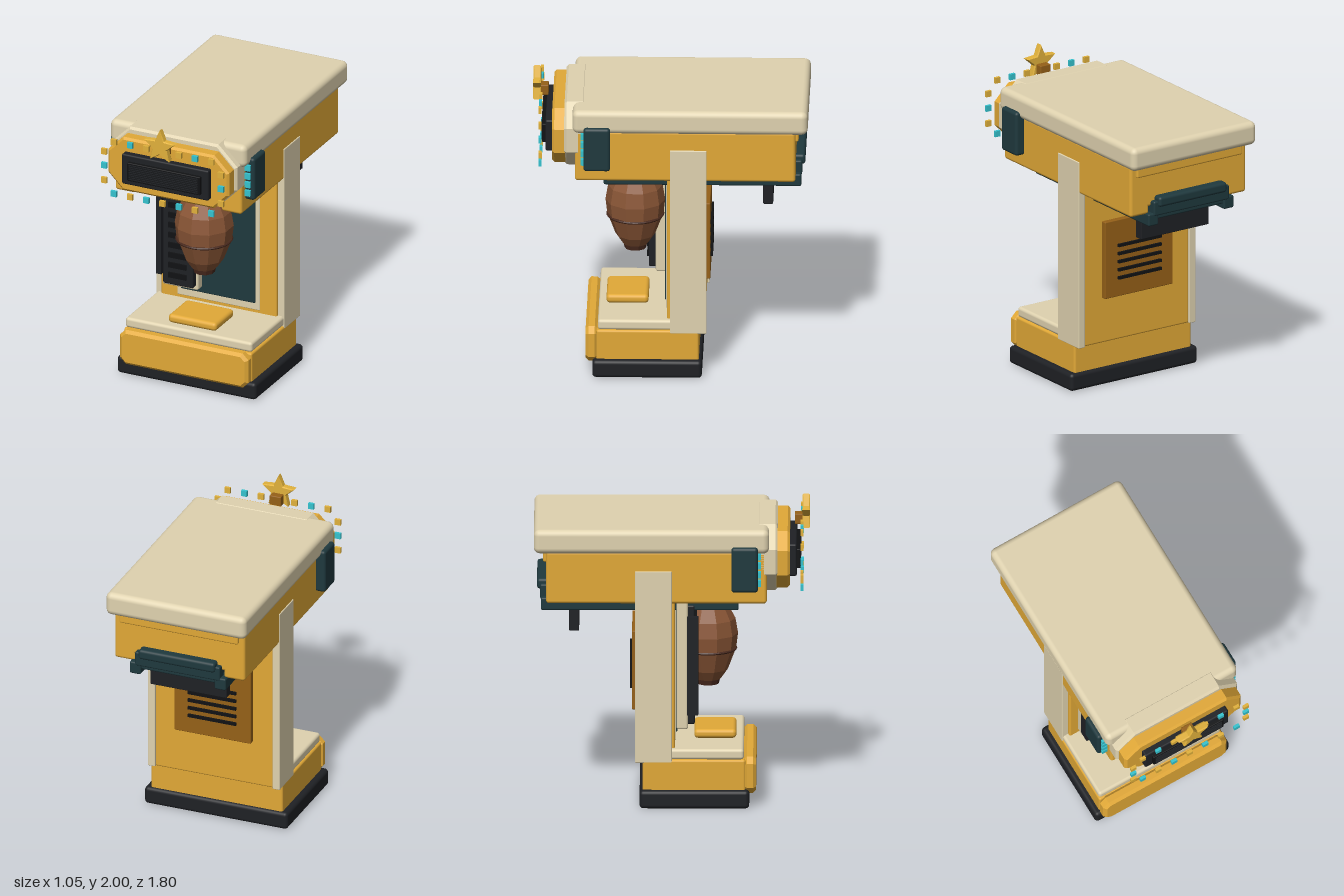
import * as THREE from 'three';
import { RoundedBoxGeometry } from 'three/addons/geometries/RoundedBoxGeometry.js';

const mat = (color, flatShading = false) => new THREE.MeshStandardMaterial({ color, flatShading });
const yellow = mat(0xe2a937), cream = mat(0xe0d3b0), black = mat(0x1f2125), teal = mat(0x1f393e);
const cyan = mat(0x35c4d0), brass = mat(0x966118), dark = mat(0x111214);
const gold = mat(0xe2b23c, true), leather = mat(0x8a5636, true), darkLeather = mat(0x4a2a1e, true);

export function createModel() {
  const root = new THREE.Group();

  const add = (name, geometry, material, x = 0, y = 0, z = 0) => {
    const mesh = new THREE.Mesh(geometry, material);
    mesh.name = name;
    mesh.position.set(x, y, z);
    root.add(mesh);
    return mesh;
  };
  // Box given by its limits on each axis; r rounds the edges
  const box = (name, material, [x0, x1], [y0, y1], [z0, z1], r = 0) => {
    const size = [x1 - x0, y1 - y0, z1 - z0];
    const geometry = r ? new RoundedBoxGeometry(...size, 3, r) : new THREE.BoxGeometry(...size);
    return add(name, geometry, material, (x0 + x1) / 2, (y0 + y1) / 2, (z0 + z1) / 2);
  };
  // The same box on both sides
  const pair = (name, material, [x0, x1], y, z, r) => {
    box(name + 'Left', material, [x0, x1], y, z, r);
    box(name + 'Right', material, [-x1, -x0], y, z, r);
  };
  // Upright plate with cut corners, bevelled at front and back
  const plate = (name, material, w, [y0, y1], [z0, z1], cut, bevel) => {
    const x = w - bevel, b = y0 + bevel, t = y1 - bevel;
    const shape = new THREE.Shape([
      [-x + cut, b], [x - cut, b], [x, b + cut], [x, t - cut],
      [x - cut, t], [-x + cut, t], [-x, t - cut], [-x, b + cut],
    ].map(p => new THREE.Vector2(...p)));
    const geometry = new THREE.ExtrudeGeometry(shape, {
      depth: z1 - z0 - 2 * bevel, bevelThickness: bevel, bevelSize: bevel, bevelSegments: 1,
    });
    return add(name, geometry, material, 0, 0, z0 + bevel);
  };

  // Base and platform
  box('foot', black, [-0.505, 0.505], [0, 0.12], [-0.21, 0.505], 0.025);
  box('base', yellow, [-0.465, 0.465], [0.1, 0.32], [-0.19, 0.48], 0.015);
  plate('baseFront', yellow, 0.467, [0.09, 0.335], [0.47, 0.55], 0.03, 0.02);
  box('platform', cream, [-0.46, 0.46], [0.32, 0.39], [-0.02, 0.47], 0.02);
  box('platformPad', yellow, [-0.175, 0.175], [0.39, 0.45], [0.145, 0.42], 0.025);

  // Column
  box('column', yellow, [-0.42, 0.42], [0.3, 1.42], [-0.225, 0.02], 0.012);
  pair('sidePost', cream, [0.415, 0.466], [0.3, 1.59], [-0.24, 0], 0.006);
  box('panelFrame', cream, [-0.3, 0.3], [0.41, 1.4], [0.01, 0.027], 0.006);
  box('frontPanel', teal, [-0.27, 0.27], [0.46, 1.41], [0.015, 0.037], 0.008);
  box('backPanel', brass, [-0.27, 0.27], [0.61, 1.14], [-0.26, -0.21], 0.006);
  for (let i = 0; i < 5; i++) {
    const y = 0.74 + i * 0.056;
    box('backVent', dark, [-0.17, 0.17], [y - 0.01, y + 0.01], [-0.275, -0.25]);
  }

  // Score board beside the bag
  box('boardFrame', cream, [-0.37, -0.11], [0.5, 1.36], [0.03, 0.105], 0.015);
  box('board', black, [-0.345, -0.125], [0.53, 1.33], [0.09, 0.15], 0.012);
  box('boardRail', black, [-0.382, -0.345], [0.6, 1.26], [0.1, 0.172]);
  for (let i = 0; i < 10; i++) {
    const y = 0.603 + i * 0.0717;
    box('boardSlat', dark, [-0.3, -0.17], [y - 0.018, y + 0.018], [0.14, 0.162]);
  }

  // Overhead housing with a channel along its underside
  box('housing', yellow, [-0.46, 0.46], [1.42, 1.72], [-0.82, 0.62], 0.02);
  pair('housingCheek', yellow, [0.31, 0.46], [1.37, 1.5], [-0.82, 0.62], 0.02);
  box('housingBackLip', yellow, [-0.42, 0.42], [1.64, 1.71], [-0.84, -0.8], 0.012);
  box('lid', cream, [-0.495, 0.495], [1.71, 1.87], [-0.9, 0.635], 0.04);

  // Carriage under the housing
  box('carriageTray', teal, [-0.29, 0.29], [1.33, 1.42], [-0.84, 0.42], 0.012);
  pair('carriageRail', teal, [0.26, 0.34], [1.295, 1.38], [-0.855, 0.435], 0.012);
  box('carriageBack', teal, [-0.3, 0.3], [1.36, 1.46], [-0.86, -0.78], 0.012);
  box('carriageCap', teal, [-0.27, 0.27], [1.42, 1.49], [-0.88, -0.8], 0.02);
  box('counterweight', black, [-0.27, 0.27], [1.14, 1.35], [-0.67, -0.605], 0.006);
  box('frontBar', black, [-0.31, 0.31], [1.38, 1.42], [0.41, 0.45]);

  // Punching bag
  const profile = [[0.001, 0.755], [0.085, 0.755], [0.13, 0.82], [0.183, 0.96], [0.195, 1.06],
    [0.178, 1.16], [0.13, 1.25], [0.075, 1.29], [0.001, 1.29]].map(p => new THREE.Vector2(...p));
  add('bag', new THREE.LatheGeometry(profile, 10), leather, 0, 0, 0.235);
  const seam = add('bagSeam', new THREE.TorusGeometry(0.181, 0.009, 6, 32), darkLeather, 0, 0.96, 0.235);
  seam.rotation.x = Math.PI / 2;
  add('bagFoot', new THREE.CylinderGeometry(0.08, 0.07, 0.04, 10), darkLeather, 0, 0.74, 0.235);
  add('bagCollar', new THREE.CylinderGeometry(0.075, 0.08, 0.055, 10), black, 0, 1.3, 0.235);
  add('bagNeck', new THREE.CylinderGeometry(0.045, 0.045, 0.12, 12), black, 0, 1.36, 0.235);

  // Marquee and display
  plate('marqueeCollar', cream, 0.46, [1.43, 1.873], [0.555, 0.69], 0.13, 0.015);
  plate('marqueeFace', yellow, 0.44, [1.45, 1.83], [0.67, 0.77], 0.1, 0.015);
  box('display', black, [-0.315, 0.315], [1.52, 1.735], [0.75, 0.815], 0.012);
  box('displayScreen', dark, [-0.265, 0.265], [1.56, 1.69], [0.8, 0.838], 0.006);
  for (let i = 0; i < 9; i++) {
    const y = 1.575 + i * 0.0125;
    box('screenLine', black, [-0.25, 0.25], [y - 0.003, y + 0.003], [0.83, 0.842]);
  }

  // Lamps around the display, alternating in colour
  const lamp = (material, x, y, z) =>
    box('lamp', material, [x - 0.02, x + 0.02], [y - 0.02, y + 0.02], [z - 0.01, z + 0.01]);
  for (let i = 0; i < 7; i++) {
    const x = (i - 3) * 0.118;
    lamp(i % 2 ? cyan : gold, x, 1.825, 0.848);
    lamp(i % 2 ? gold : cyan, x, 1.455, 0.848);
  }
  for (const s of [-1, 1]) {
    [1.745, 1.645, 1.54].forEach((y, i) => lamp(i === 1 ? cyan : gold, s * 0.425, y, 0.848));
    // Lamps on the ears
    for (let i = 0; i < 4; i++) lamp(cyan, s * 0.483, 1.515 + i * 0.06, 0.572);
  }
  pair('ear', teal, [0.45, 0.525], [1.46, 1.76], [0.388, 0.562], 0.02);

  // Star on its bracket
  const star = new THREE.Shape(Array.from({ length: 10 }, (_, i) => {
    const r = i % 2 ? 0.048 : 0.11, a = Math.PI / 2 + i * Math.PI / 5;
    return new THREE.Vector2(r * Math.cos(a), r * Math.sin(a));
  }));
  add('star', new THREE.ExtrudeGeometry(star, {
    depth: 0.035, bevelThickness: 0.008, bevelSize: 0.006, bevelSegments: 1,
  }), gold, 0, 1.877, 0.857);
  box('starBracket', brass, [-0.04, 0.04], [1.8, 1.87], [0.8, 0.855], 0.006);

  return root;
}
